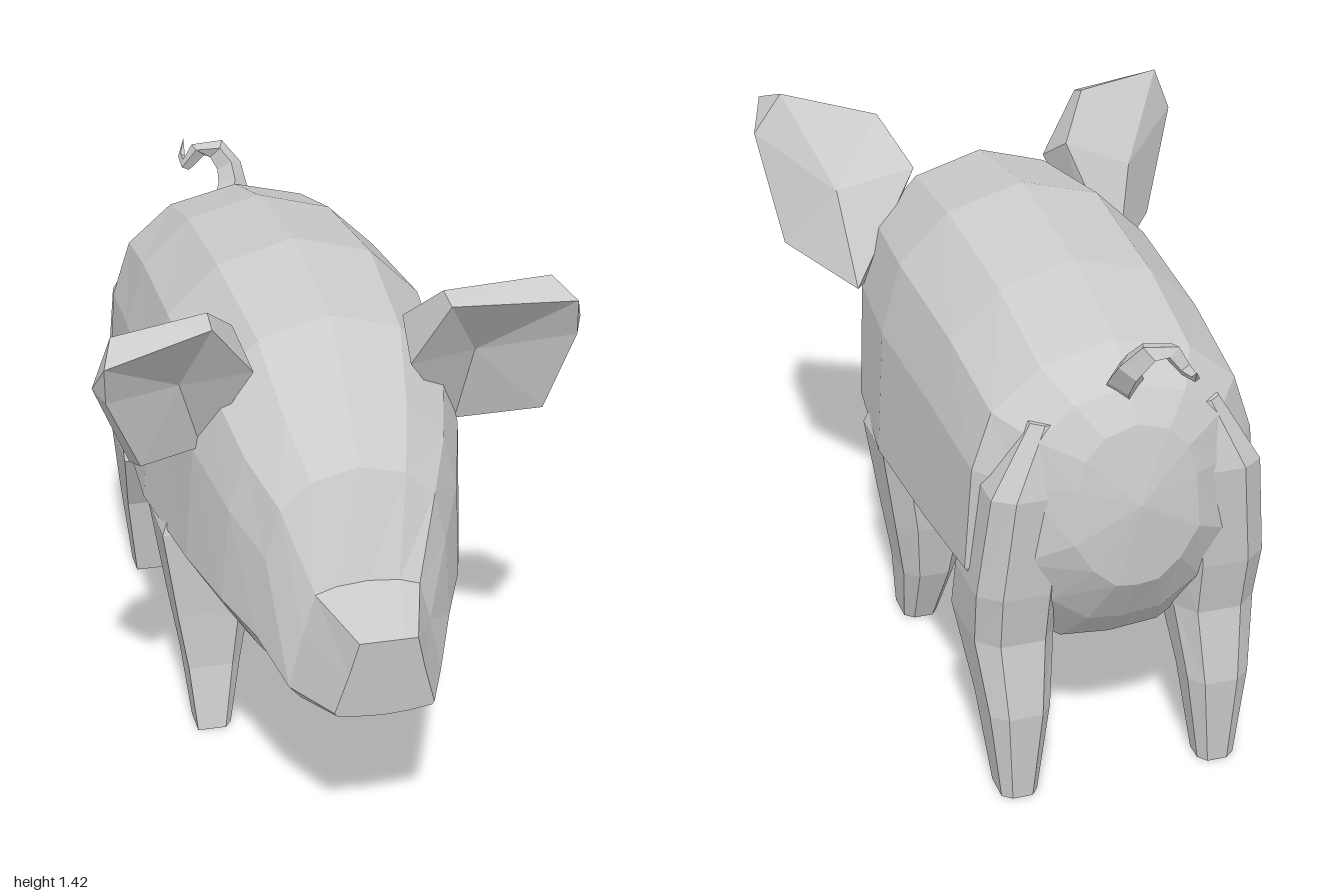
import * as THREE from 'three';

const V = (p) => new THREE.Vector3(...p);
const material = new THREE.MeshStandardMaterial({ color: 0xcccccc, flatShading: true });

// Closed loft through rings of equal length, capped by fans; faces are turned outward.
function loft(rings, startCentre, endCentre) {
  const mid = (r) => r.reduce((s, p) => s.add(p), new THREE.Vector3()).divideScalar(r.length);
  const n = rings[0].length, last = rings.length - 1, tris = [];
  const c0 = startCentre || mid(rings[0]), c1 = endCentre || mid(rings[last]);
  for (let j = 0; j < n; j++) {
    const k = (j + 1) % n;
    tris.push([c0, rings[0][k], rings[0][j]], [c1, rings[last][j], rings[last][k]]);
    for (let i = 0; i < last; i++) {
      const a = rings[i][j], b = rings[i][k], c = rings[i + 1][k], d = rings[i + 1][j];
      tris.push([a, b, c], [a, c, d]);
    }
  }
  const origin = mid(rings.flat());
  let volume = 0;
  for (const t of tris) {
    const [a, b, c] = t.map((p) => p.clone().sub(origin));
    volume += a.dot(b.cross(c));
  }
  const points = tris.flatMap(([a, b, c]) => (volume < 0 ? [a, c, b] : [a, b, c]));
  const geometry = new THREE.BufferGeometry().setFromPoints(points);
  geometry.computeVertexNormals();
  return geometry;
}

// Body and head: a barrel half-section blending into a wedge-shaped snout section.
function bodyGeometry() {
  const barrel = [[0, 1], [0.5, 0.945], [0.82, 0.82], [0.95, 0.64],
    [1, 0.31], [0.7, 0.13], [0.34, 0.015], [0, 0]];
  const snout = [[0, 1], [0.35, 1], [0.58, 1], [0.75, 0.6],
    [1, 0.1], [0.95, 0.06], [0.5, 0.02], [0, 0]];
  // zTop, zBottom, top, bottom, half width, snout blend
  const stations = [
    [1.0, 0.97, 0.685, 0.46, 0.125, 1],
    [0.8, 0.79, 0.74, 0.395, 0.195, 0.6],
    [0.7, 0.66, 1.0, 0.365, 0.25, 0.15],
    [0.57, 0.53, 1.13, 0.335, 0.31, 0],
    [0.4, 0.34, 1.275, 0.315, 0.365, 0],
    [0.02, 0.0, 1.33, 0.295, 0.41, 0],
    [-0.4, -0.4, 1.29, 0.325, 0.395, 0],
    [-0.7, -0.68, 1.21, 0.38, 0.38, 0],
    [-0.81, -0.79, 1.14, 0.49, 0.28, 0],
    [-0.86, -0.88, 1.06, 0.63, 0.16, 0],
  ];
  const rings = stations.map(([zt, zb, top, bottom, w, blend]) => {
    const half = barrel.map(([u, v], i) => [
      THREE.MathUtils.lerp(u, snout[i][0], blend), THREE.MathUtils.lerp(v, snout[i][1], blend)]);
    const at = (s) => ([u, v]) => new THREE.Vector3(s * u * w, bottom + (top - bottom) * v, zb + (zt - zb) * v);
    return [...half.map(at(1)), ...half.slice(1, -1).reverse().map(at(-1))];
  });
  return loft(rings, null, V([0, 0.86, -0.9]));
}

// Legs: flat outside, bevelled inside and behind; levels are [y, x, z, halfX, halfZ].
function legGeometry(side, levels) {
  const section = [[1, 1], [1, -0.6], [0.5, -1], [-0.6, -1], [-1, -0.5], [-1, 0.5], [-0.6, 1]];
  return loft(levels.map(([y, x, z, hx, hz]) =>
    section.map(([u, w]) => new THREE.Vector3(side * (x + u * hx), y, z + w * hz))));
}
const frontLevels = [
  [0, 0.267, 0.175, 0.048, 0.055],
  [0.18, 0.257, 0.12, 0.075, 0.08],
  [0.35, 0.255, 0.1, 0.105, 0.1],
  [0.6, 0.29, 0.085, 0.108, 0.125],
  [0.72, 0.26, 0.085, 0.09, 0.09],
];
const backLevels = [
  [0, 0.267, -0.74, 0.048, 0.05],
  [0.25, 0.265, -0.725, 0.08, 0.083],
  [0.45, 0.265, -0.655, 0.105, 0.125],
  [0.6, 0.265, -0.7, 0.11, 0.11],
  [0.88, 0.24, -0.745, 0.105, 0.09],
  [1.06, 0.18, -0.74, 0.06, 0.06],
];

// Ear: a front rim with a sunken hollow and a back shell, rolled about its root by droop.
function earGeometry(side, droop, spread) {
  const root = new THREE.Vector3(0.28, 1.12, 0), axis = new THREE.Vector3(0, 0, 1);
  const place = (point) => {
    const p = V(point).sub(root).applyAxisAngle(axis, -droop).add(root);
    return p.setX(side * (p.x + spread));
  };
  const front = [[0.18, 1.17, 0.51], [0.26, 1.345, 0.58], [0.54, 1.385, 0.7],
    [0.555, 1.28, 0.66], [0.51, 1.04, 0.56], [0.34, 0.94, 0.37]];
  const back = [[0.19, 1.25, 0.39], [0.255, 1.365, 0.52], [0.5, 1.42, 0.61],
    [0.575, 1.31, 0.62], [0.53, 1.03, 0.5], [0.38, 0.96, 0.29]];
  return loft([front.map(place), back.map(place)], place([0.36, 1.17, 0.46]), place([0.4, 1.2, 0.415]));
}

// Curly tail: a four-sided tube tapering to a point.
function tailGeometry() {
  const curve = new THREE.CatmullRomCurve3([[0, 1.12, -0.77], [0.02, 1.18, -0.83], [0, 1.235, -0.87],
    [-0.05, 1.27, -0.88], [-0.1, 1.21, -0.89], [-0.11, 1.2, -0.93], [-0.09, 1.25, -1.0]].map(V));
  const steps = 7;
  const geometry = new THREE.TubeGeometry(curve, steps, 1, 4);
  const pos = geometry.attributes.position, p = new THREE.Vector3();
  for (let i = 0; i < pos.count; i++) {
    const t = Math.floor(i / 5) / steps;
    const centre = curve.getPointAt(t);
    p.fromBufferAttribute(pos, i).sub(centre).multiplyScalar(0.048 * (1 - t) ** 0.8).add(centre);
    pos.setXYZ(i, p.x, p.y, p.z);
  }
  geometry.computeVertexNormals();
  return geometry;
}

export function createModel() {
  const model = new THREE.Group();
  model.name = 'pig';
  const add = (name, geometry) => {
    const mesh = new THREE.Mesh(geometry, material);
    mesh.name = name;
    mesh.position.x = 0.03;
    model.add(mesh);
  };
  add('body', bodyGeometry());
  for (const [label, side, droop, spread] of [['left', 1, 0, 0], ['right', -1, 0.22, 0.025]]) {
    add(label + 'FrontLeg', legGeometry(side, frontLevels));
    add(label + 'BackLeg', legGeometry(side, backLevels));
    add(label + 'Ear', earGeometry(side, droop, spread));
  }
  add('tail', tailGeometry());
  return model;
}
